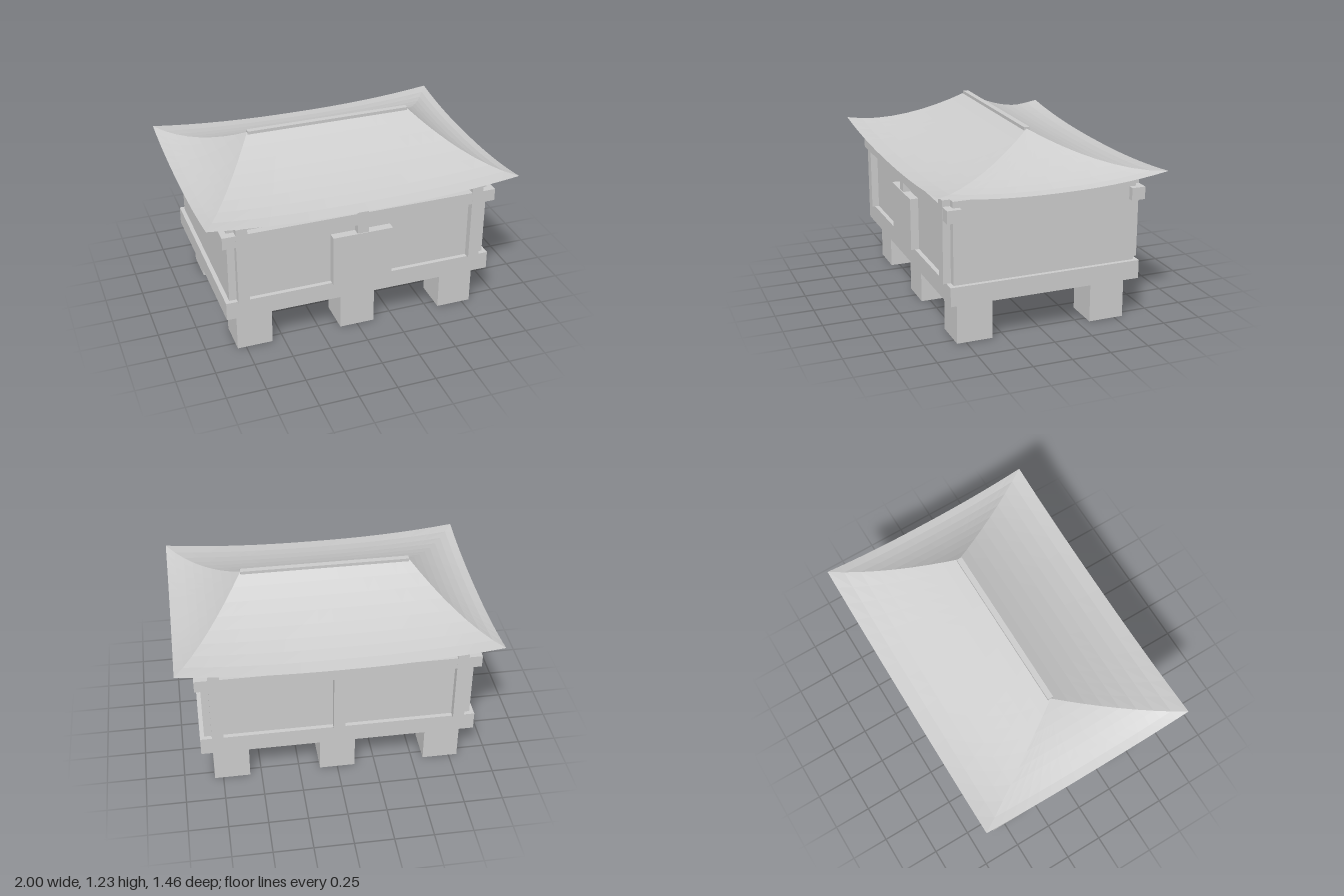
import * as THREE from 'three';

const stone = new THREE.MeshStandardMaterial({ color: 0xcccccc, flatShading: true, side: THREE.DoubleSide });
stone.name = 'paleGrey';

// Box given by its lower and upper limits on each axis
function box(parent, name, [x0, x1], [y0, y1], [z0, z1]) {
  const mesh = new THREE.Mesh(new THREE.BoxGeometry(x1 - x0, y1 - y0, z1 - z0), stone);
  mesh.position.set((x0 + x1) / 2, (y0 + y1) / 2, (z0 + z1) / 2);
  mesh.name = name;
  parent.add(mesh);
}

const RIDGE = 0.54, HALF_X = 1, HALF_Z = 0.73, ROWS = 8, COLS = 16;

// Sagging slope with eaves that lift towards the corners
function roofHeight(s, t) {
  return 0.945 + 0.275 * Math.pow(1 - t, 1.6) + 0.055 * Math.pow(Math.abs(s), 2.3) * t * t;
}

// One roof slope: s runs along the eave (-1..1), t from the ridge down to the eave
function slope(name, place) {
  const pos = [], idx = [];
  for (let j = 0; j <= ROWS; j++) {
    for (let i = 0; i <= COLS; i++) {
      const s = (i / COLS) * 2 - 1, t = j / ROWS;
      const [x, z] = place(s, t);
      pos.push(x, roofHeight(s, t), z);
    }
  }
  for (let j = 0; j < ROWS; j++) {
    for (let i = 0; i < COLS; i++) {
      const a = j * (COLS + 1) + i, b = a + COLS + 1;
      idx.push(a, b, a + 1, a + 1, b, b + 1);
    }
  }
  const geo = new THREE.BufferGeometry();
  geo.setAttribute('position', new THREE.Float32BufferAttribute(pos, 3));
  geo.setIndex(idx);
  geo.computeVertexNormals();
  const mesh = new THREE.Mesh(geo, stone);
  mesh.name = name;
  return mesh;
}

export function createModel() {
  const model = new THREE.Group();
  model.name = 'raisedStorehouse';

  // Six footing blocks in two rows
  for (const x of [-0.69, 0, 0.69]) {
    for (const z of [-0.442, 0.442]) {
      box(model, 'footing', [x - 0.115, x + 0.115], [0, 0.28], [z - 0.115, z + 0.115]);
    }
  }

  // Floor platform and walls
  box(model, 'platform', [-0.88, 0.88], [0.28, 0.4], [-0.62, 0.62]);
  box(model, 'walls', [-0.853, 0.853], [0.4, 0.92], [-0.592, 0.592]);

  // Posts and tie beam on the front and the back
  for (const side of [1, -1]) {
    const depth = (a, b) => (side > 0 ? [a, b] : [-b, -a]);
    for (const x of [-0.77, 0, 0.77]) {
      box(model, 'post', [x - 0.036, x + 0.036], [0.4, 0.92], depth(0.57, 0.64));
    }
    box(model, 'tieBeam', [-0.89, 0.89], [0.8, 0.88], depth(0.55, 0.639));
  }

  box(model, 'door', [-0.196, 0.196], [0.4, 0.74], [0.58, 0.645]);

  // Hipped roof: long slopes front and back, hips at the ends
  const roof = new THREE.Group();
  roof.name = 'roof';
  for (const k of [1, -1]) {
    roof.add(slope('longSlope', (s, t) => [k * s * (RIDGE + (HALF_X - RIDGE) * t), k * HALF_Z * t]));
    roof.add(slope('endSlope', (s, t) => [k * (RIDGE + (HALF_X - RIDGE) * t), -k * s * HALF_Z * t]));
  }
  box(roof, 'ridgeBeam', [-RIDGE, RIDGE], [1.205, 1.23], [-0.018, 0.018]);
  model.add(roof);

  return model;
}
